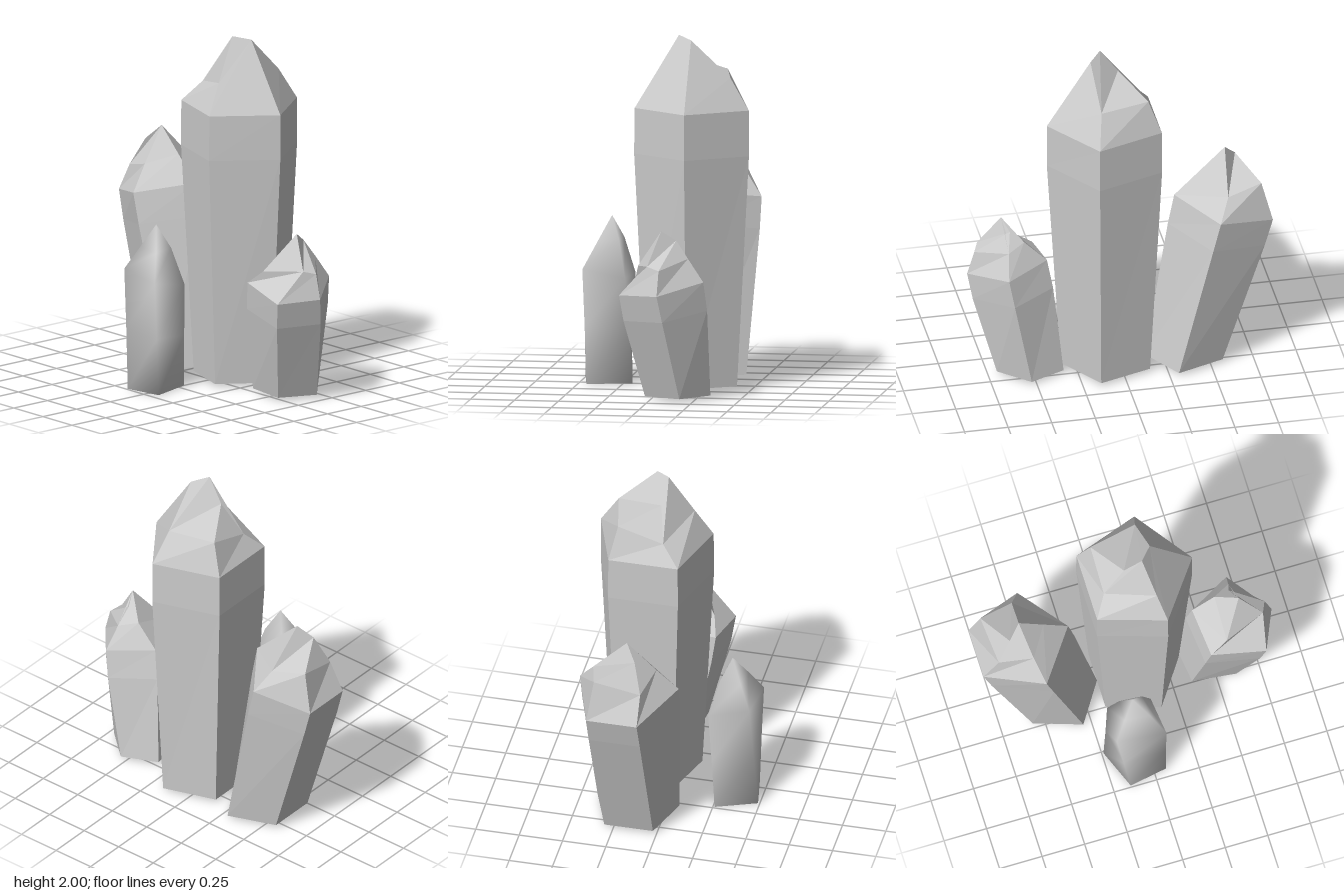
import * as THREE from 'three';
import { mergeVertices } from 'three/addons/utils/BufferGeometryUtils.js';

const V = (p) => new THREE.Vector3(...p);

// Mean point of a ring
function centre(ring) {
  return ring.reduce((s, p) => s.add(p), new THREE.Vector3()).divideScalar(ring.length);
}

// Ring between base and rim, slightly swollen about its own centre
function midRing(base, rim, t, bulge) {
  const ring = base.map((p, i) => p.clone().lerp(rim[i], t));
  const c = centre(ring);
  return ring.map((p) => p.sub(c).multiplyScalar(bulge).add(c));
}

// Skin of quads through rings listed bottom to top (points run left, front, right, back)
function crystal({ name, base, rim, crest, ridge, mid = [0.8, 1.03], smooth = false }) {
  const b = base.map(V), r = rim.map(V);
  const rings = [b, midRing(b, r, ...mid), r, crest.map(V), ridge.map(V)];
  const out = [];
  const tri = (p, q, s) => {
    const area = q.clone().sub(p).cross(s.clone().sub(p)).length();
    if (area > 1e-6) [p, q, s].forEach((v) => out.push(v.x, v.y, v.z));
  };
  const n = b.length, foot = centre(b);
  for (let i = 0; i < n; i++) {
    const j = (i + 1) % n;
    tri(foot, b[j], b[i]);
    for (let k = 0; k < rings.length - 1; k++) {
      const lo = rings[k], hi = rings[k + 1];
      tri(lo[i], lo[j], hi[j]);
      tri(lo[i], hi[j], hi[i]);
    }
  }
  let geo = new THREE.BufferGeometry();
  geo.setAttribute('position', new THREE.Float32BufferAttribute(out, 3));
  if (smooth) geo = mergeVertices(geo, 1e-4);
  geo.computeVertexNormals();
  const mesh = new THREE.Mesh(geo, new THREE.MeshStandardMaterial({ color: 0xcccccc, flatShading: !smooth }));
  mesh.name = name;
  return mesh;
}

export function createModel() {
  const group = new THREE.Group();
  group.name = 'crystalCluster';

  // Tall upright crystal in the middle
  const peak = [0.08, 2.0, 0.09], step = [0.1, 1.87, -0.01];
  group.add(crystal({
    name: 'tallCrystal',
    base: [[-0.1, 0.02, 0.15], [0.16, 0.02, 0.33], [0.42, 0.02, 0.15], [0.32, 0.02, -0.15], [0, 0.02, -0.15]],
    rim: [[-0.16, 1.59, 0.17], [0.16, 1.59, 0.41], [0.49, 1.59, 0.17], [0.36, 1.59, -0.21], [-0.04, 1.59, -0.21]],
    crest: [[-0.06, 1.76, 0.135], [0.16, 1.98, 0.16], [0.38, 1.77, 0.14], [0.32, 1.78, -0.14], [0.06, 1.7, -0.14]],
    ridge: [peak, peak, peak, step, step],
    mid: [0.835, 1.04],
  }));

  // Crystal leaning backwards
  const backPeak = [0.16, 1.33, -0.61], backStep = [0.1, 1.25, -0.68];
  group.add(crystal({
    name: 'backCrystal',
    base: [[-0.07, 0.02, -0.3], [0.16, 0.02, -0.15], [0.4, 0.02, -0.3], [0.3, 0.02, -0.57], [0.02, 0.02, -0.57]],
    rim: [[-0.12, 1.0, -0.53], [0.16, 1.05, -0.32], [0.45, 1.0, -0.53], [0.34, 0.93, -0.85], [0.05, 0.93, -0.85]],
    crest: [[0, 1.14, -0.57], [0.16, 1.19, -0.465], [0.36, 1.12, -0.59], [0.31, 1.16, -0.79], [0.05, 1.09, -0.76]],
    ridge: [backPeak, backPeak, backPeak, backStep, backStep],
    mid: [0.82, 1.02],
  }));

  // Short crystal leaning forwards
  const frontPeak = [0.07, 0.965, 0.655], frontStep = [0.15, 0.91, 0.62];
  group.add(crystal({
    name: 'frontCrystal',
    base: [[-0.03, 0.02, 0.61], [0.18, 0.02, 0.7], [0.33, 0.02, 0.53], [0.24, 0.02, 0.33], [0, 0.02, 0.36]],
    rim: [[-0.155, 0.61, 0.75], [0.075, 0.62, 0.85], [0.31, 0.68, 0.655], [0.165, 0.71, 0.41], [-0.11, 0.67, 0.44]],
    crest: [[0.01, 0.78, 0.78], [0.08, 0.76, 0.81], [0.22, 0.81, 0.64], [0.16, 0.84, 0.54], [-0.08, 0.75, 0.54]],
    ridge: [frontPeak, frontStep, frontStep, frontPeak, frontPeak],
    mid: [0.75, 1.05],
  }));

  // Small, softly shaded four-sided crystal with a slight twist
  const tip = [-0.33, 0.94, -0.09];
  group.add(crystal({
    name: 'smallCrystal',
    base: [[-0.45, 0, 0.07], [-0.2, 0, 0], [-0.26, 0, -0.24], [-0.49, 0, -0.15]],
    rim: [[-0.475, 0.65, 0.065], [-0.235, 0.6, 0.045], [-0.215, 0.6, -0.205], [-0.455, 0.68, -0.22]],
    crest: [[-0.4, 0.8, -0.01], [-0.28, 0.81, -0.02], [-0.27, 0.81, -0.15], [-0.39, 0.81, -0.155]],
    ridge: [tip, tip, tip, tip],
    mid: [0.5, 0.99],
    smooth: true,
  }));

  return group;
}
